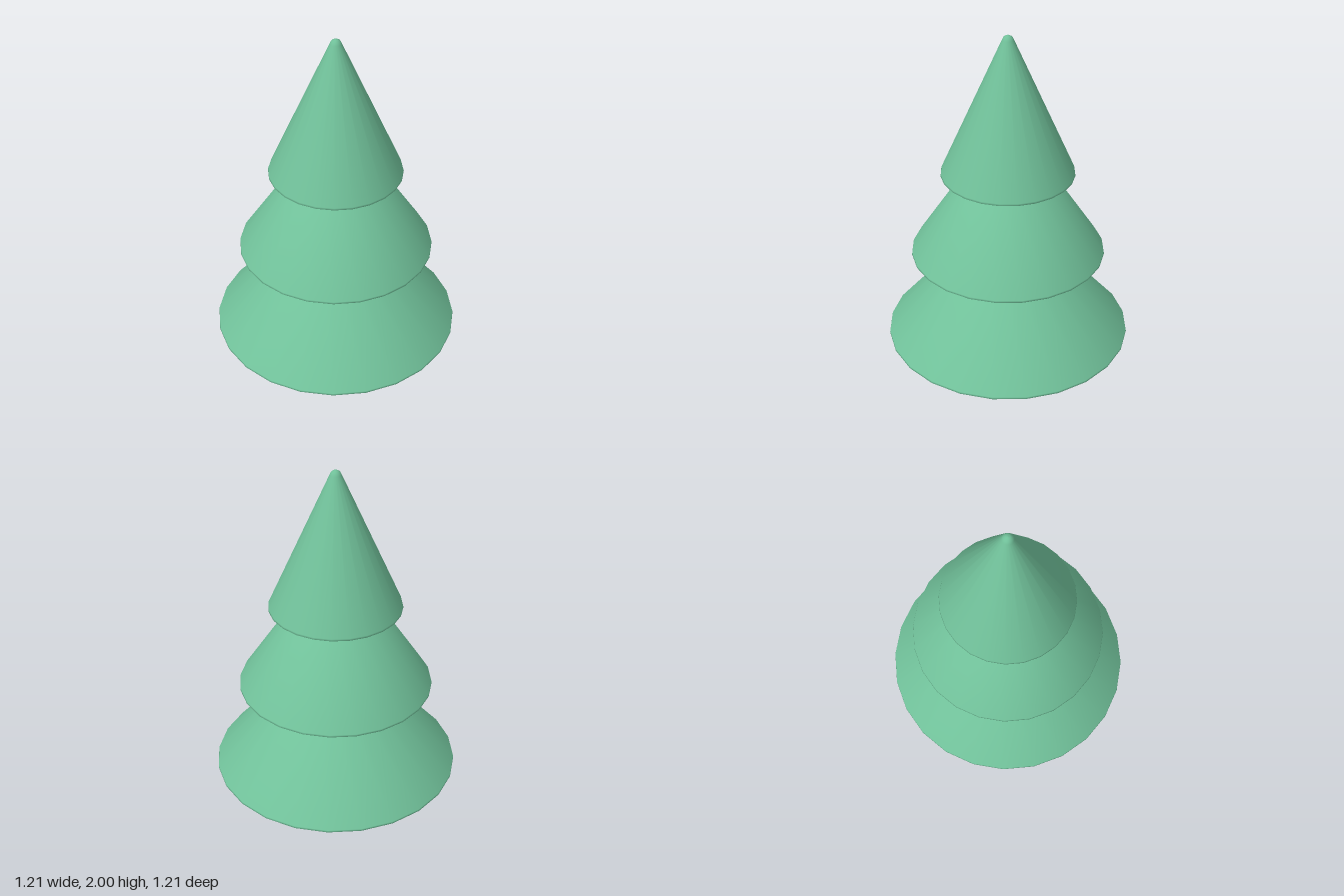
import * as THREE from 'three';

const SEGMENTS = 24;

export function createModel() {
  const tree = new THREE.Group();
  tree.name = 'pineTree';

  const foliage = new THREE.MeshStandardMaterial({ color: 0x70c099 });
  foliage.name = 'foliageGreen';
  const bark = new THREE.MeshStandardMaterial({ color: 0xbc9471 });
  bark.name = 'barkBrown';

  const addLathe = (name, points, material) => {
    const profile = points.map(([x, y]) => new THREE.Vector2(x, y));
    const mesh = new THREE.Mesh(new THREE.LatheGeometry(profile, SEGMENTS), material);
    mesh.name = name;
    tree.add(mesh);
  };

  // Flat underside and a narrow bevelled rim; the doubled point keeps the edge crisp
  const skirt = (radius, y) => [
    [0, y], [radius - 0.008, y], [radius - 0.008, y],
    [radius, y + 0.005], [radius - 0.002, y + 0.014],
  ];

  // Trunk with a softly shaded base
  addLathe('trunk', [[0, 0], [0.088, 0], [0.094, 0.006], [0.094, 0.44]], bark);

  // Lower tiers end inside the tier above
  addLathe('lowerTier', [...skirt(0.605, 0.428), [0.212, 0.895], [0, 0.895]], foliage);
  addLathe('middleTier', [...skirt(0.472, 0.888), [0.198, 1.316], [0, 1.316]], foliage);

  // Top tier with a rounded tip
  addLathe('topTier', [
    ...skirt(0.319, 1.311),
    [0.027, 1.978], [0.02, 1.992], [0.01, 1.998], [0, 2],
  ], foliage);

  return tree;
}
